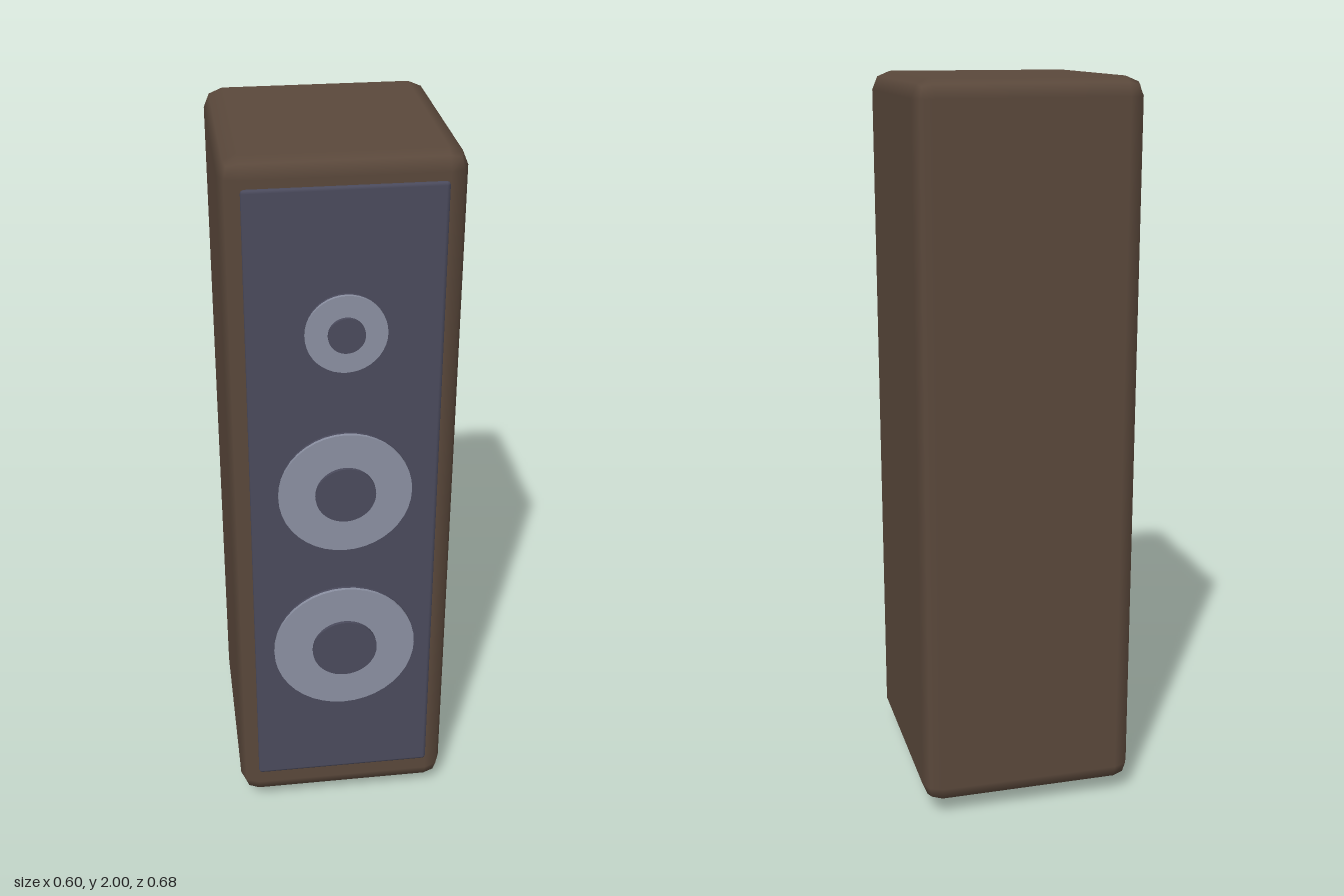
import * as THREE from 'three';
import { RoundedBoxGeometry } from 'three/addons/geometries/RoundedBoxGeometry.js';

const mat = (name, color) => new THREE.MeshStandardMaterial({ name, color });

export function createModel() {
  const wood = mat('brown wood', 0x5a483b);
  const dark = mat('dark slate', 0x4a4a5c);
  const metal = mat('grey metal', 0x8b90a2);

  const model = new THREE.Group();
  model.name = 'floorSpeaker';

  function add(parent, name, geometry, material, x, y, z) {
    const mesh = new THREE.Mesh(geometry, material);
    mesh.name = name;
    mesh.position.set(x, y, z);
    parent.add(mesh);
    return mesh;
  }

  // Disc facing +z, from z = back to z = front
  function disc(parent, name, radius, back, front, material) {
    const geometry = new THREE.CylinderGeometry(radius, radius, front - back, 40);
    geometry.rotateX(Math.PI / 2);
    add(parent, name, geometry, material, 0, 0, (back + front) / 2);
  }

  // Cabinet with softened edges and the raised front panel
  add(model, 'cabinet', new RoundedBoxGeometry(0.6, 1.96, 0.645, 1, 0.05), wood, 0, 1.02, -0.0175);
  add(model, 'frontPanel', new RoundedBoxGeometry(0.5, 1.8, 0.03, 1, 0.01), dark, 0, 1.03, 0.298);

  // Drivers: dark basket, metal ring and dark centre cap
  const drivers = [
    ['woofer', 0.59, 0.197, 0.09],
    ['midrange', 1.095, 0.177, 0.08],
    ['tweeter', 1.555, 0.104, 0.047],
  ];
  for (const [name, y, ringRadius, capRadius] of drivers) {
    const driver = new THREE.Group();
    driver.name = name;
    driver.position.y = y;
    disc(driver, name + 'Basket', ringRadius, 0.305, 0.32, dark);
    disc(driver, name + 'Ring', ringRadius, 0.32, 0.329, metal);
    disc(driver, name + 'Cap', capRadius, 0.325, 0.338, dark);
    model.add(driver);
  }

  // Feet
  for (const side of [-1, 1]) {
    add(model, side > 0 ? 'leftFoot' : 'rightFoot',
      new THREE.CylinderGeometry(0.041, 0.041, 0.05, 20), dark, side * 0.21, 0.025, -0.015);
  }

  return model;
}
